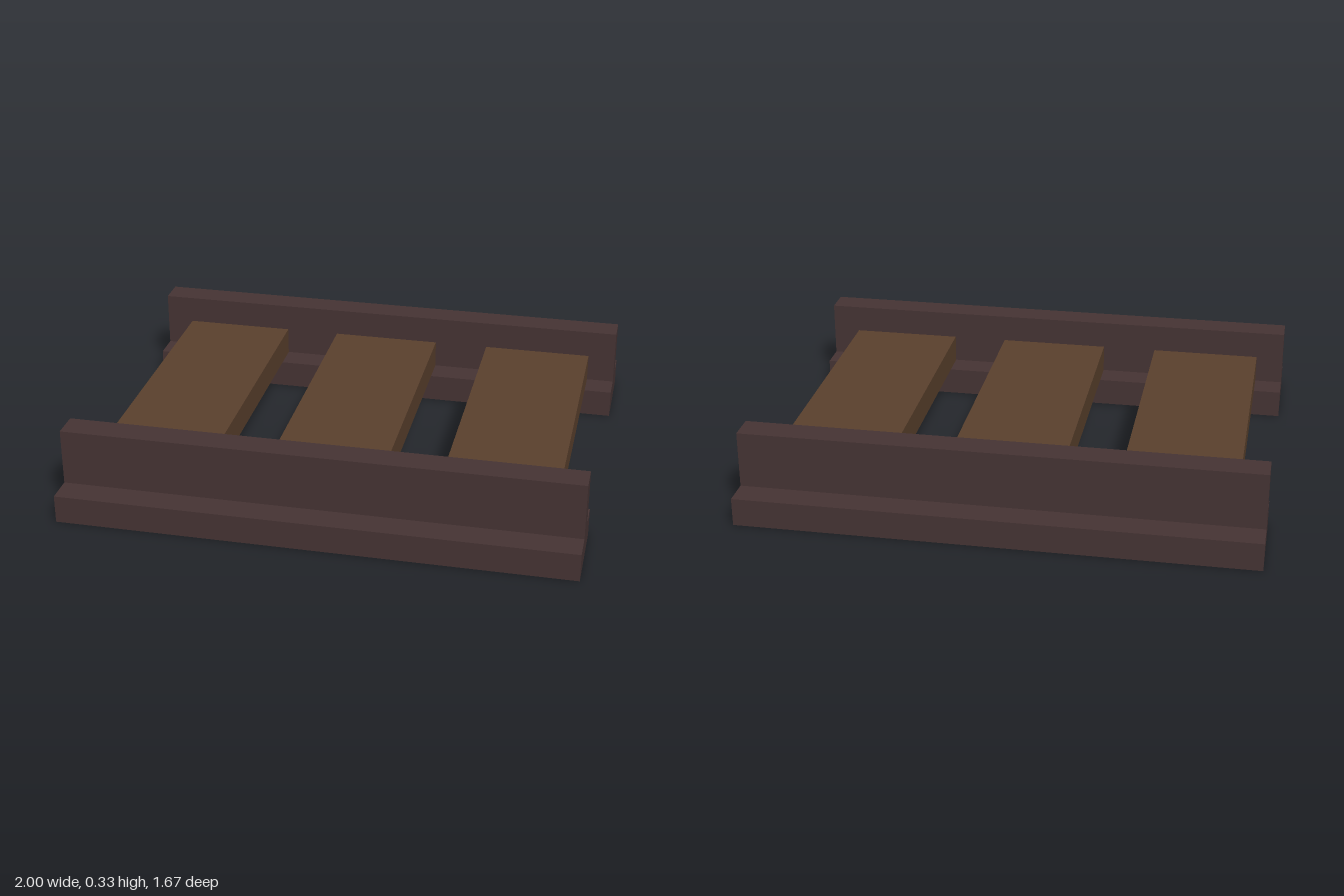
import * as THREE from 'three';

const U = 1 / 9; // grid unit: the track is 18 units long

export function createModel() {
  const railMetal = new THREE.MeshStandardMaterial({ color: 0x463434 });
  railMetal.name = 'darkRail';
  const wood = new THREE.MeshStandardMaterial({ color: 0x5b412d });
  wood.name = 'brownWood';

  const track = new THREE.Group();
  track.name = 'track';

  // Rail: inverted T section (wide foot, upright web) run along x
  const section = new THREE.Shape(
    [[-1.5, 0], [1.5, 0], [1.5, 1], [0.5, 1], [0.5, 3], [-0.5, 3], [-0.5, 1], [-1.5, 1]]
      .map(([x, y]) => new THREE.Vector2(x * U, y * U))
  );
  const railGeometry = new THREE.ExtrudeGeometry(section, { depth: 18 * U, bevelEnabled: false });
  railGeometry.translate(0, 0, -9 * U).rotateY(Math.PI / 2);

  for (const [name, side] of [['frontRail', 1], ['backRail', -1]]) {
    const rail = new THREE.Mesh(railGeometry, railMetal);
    rail.name = name;
    rail.position.z = side * 6 * U;
    track.add(rail);
  }

  // Ties: planks resting on the rail feet, between the webs
  const tieGeometry = new THREE.BoxGeometry(4 * U, U, 11 * U);
  for (const [name, x] of [['rightTie', -6], ['middleTie', 0], ['leftTie', 6]]) {
    const tie = new THREE.Mesh(tieGeometry, wood);
    tie.name = name;
    tie.position.set(x * U, 1.5 * U, 0);
    track.add(tie);
  }

  return track;
}
